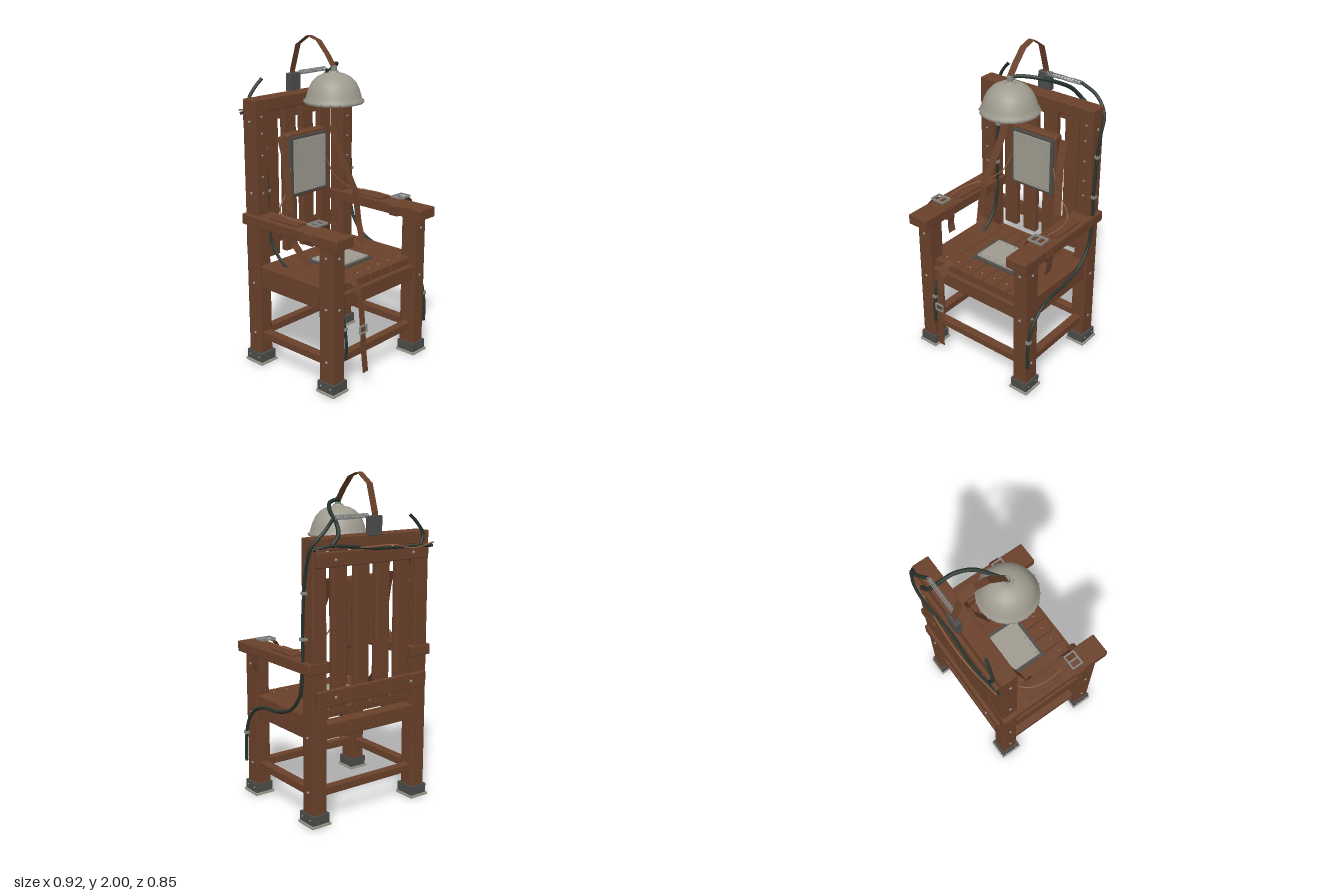
import * as THREE from 'three';
import { RoundedBoxGeometry } from 'three/addons/geometries/RoundedBoxGeometry.js';

const mat = (name, color, side = THREE.FrontSide) => {
  const m = new THREE.MeshStandardMaterial({ color, side });
  m.name = name;
  return m;
};
const V = (p) => new THREE.Vector3(...p);

export function createModel() {
  const wood = mat('wood', 0x6a412b);
  const leather = mat('leather', 0x68402b, THREE.DoubleSide);
  const plate = mat('pale metal', 0x9f9b8f, THREE.DoubleSide);
  const iron = mat('dark iron', 0x4c4c4a);
  const steel = mat('steel', 0x868b88);
  const rubber = mat('rubber hose', 0x26332c);
  const copper = mat('copper wire', 0x8d5b3d);

  const root = new THREE.Group();
  root.name = 'strapChair';

  const add = (name, geo, material) => {
    const mesh = new THREE.Mesh(geo, material);
    mesh.name = name;
    root.add(mesh);
    return mesh;
  };
  // box given by its extents on each axis
  const box = (name, m, [x0, x1], [y0, y1], [z0, z1], r = 0.006) => {
    const s = [x1 - x0, y1 - y0, z1 - z0];
    const g = r ? new RoundedBoxGeometry(...s, 1, r) : new THREE.BoxGeometry(...s);
    g.translate((x0 + x1) / 2, (y0 + y1) / 2, (z0 + z1) / 2);
    return add(name, g, m);
  };
  const span = (a, b, s) => (s > 0 ? [a, b] : [-b, -a]);
  const tube = (name, m, pts, r, n = 64) =>
    add(name, new THREE.TubeGeometry(new THREE.CatmullRomCurve3(pts.map(V)), n, r, 8), m);
  // flat strap following a path, widened along one axis
  const ribbon = (name, pts, width, axis) => {
    const pos = [], idx = [];
    const off = V(axis).multiplyScalar(width / 2);
    pts.forEach((p, i) => {
      pos.push(...V(p).sub(off).toArray(), ...V(p).add(off).toArray());
      const a = i * 2;
      if (i) idx.push(a - 2, a - 1, a, a - 1, a + 1, a);
    });
    let g = new THREE.BufferGeometry();
    g.setAttribute('position', new THREE.Float32BufferAttribute(pos, 3));
    g.setIndex(idx);
    g = g.toNonIndexed();
    g.computeVertexNormals();
    return add(name, g, leather);
  };
  const bolt = (p, dir, r = 0.009) => {
    const b = add('bolt', new THREE.SphereGeometry(r, 8, 4, 0, Math.PI * 2, 0, Math.PI / 2), steel);
    b.position.set(...p);
    b.quaternion.setFromUnitVectors(new THREE.Vector3(0, 1, 0), V(dir));
  };

  for (const s of [1, -1]) {
    // legs, posts and metal feet
    const legX = span(0.325, 0.42, s);
    box('frontLeg', wood, legX, [0.01, 0.905], [0.25, 0.36]);
    box('backPost', wood, legX, [0.01, 1.66], [-0.355, -0.25]);
    for (const [z0, z1] of [[0.245, 0.37], [-0.365, -0.235]]) {
      box('footCap', iron, span(0.315, 0.432, s), [0.012, 0.072], [z0, z1], 0);
      box('footFlange', plate, span(0.308, 0.44, s), [0, 0.014], [z0 - 0.008, z1 + 0.008], 0);
      for (const z of [z0 + 0.025, z1 - 0.025]) bolt([s * 0.432, 0.045, z], [s, 0, 0], 0.006);
    }
    // side rails and armrest
    box('seatSideRail', wood, span(0.33, 0.41, s), [0.51, 0.65], [-0.25, 0.25]);
    box('lowerSideRail', wood, span(0.345, 0.4, s), [0.165, 0.215], [-0.25, 0.25]);
    box('armrest', wood, span(0.305, 0.448, s), [0.905, 0.97], [-0.36, 0.408]);
    box('armPad', leather, span(0.325, 0.42, s), [0.965, 0.985], [-0.15, 0.075]);
    for (const y of [0.2, 0.53, 1.1, 1.53]) bolt([s * 0.42, y, -0.3], [s, 0, 0]);
    for (const y of [0.2, 0.53, 0.84]) bolt([s * 0.42, y, 0.305], [s, 0, 0]);
    for (const y of [0.53, 0.84]) bolt([s * 0.372, y, 0.36], [0, 0, 1]);
    for (const y of [1.1, 1.2, 1.33, 1.46, 1.56]) bolt([s * 0.372, y, -0.25], [0, 0, 1], 0.007);
    for (const y of [0.765, 1.54]) bolt([s * 0.28, y, -0.38], [0, 0, -1], 0.01);

    // wrist strap with buckle
    const loop = [[0.3, 0.9], [0.296, 0.96], [0.32, 0.995], [0.375, 1.003], [0.43, 0.995],
      [0.456, 0.965], [0.458, 0.93], [0.45, 0.9], [0.3, 0.9]];
    ribbon('wristStrap', loop.map(([x, y]) => [s * x, y, 0.197]), 0.062, [0, 0, 1]);
    const tail = s > 0 ? [[0.452, 0.975], [0.462, 0.93], [0.457, 0.87], [0.446, 0.81]]
      : [[-0.302, 0.975], [-0.293, 0.91], [-0.298, 0.86], [-0.288, 0.81]];
    ribbon('wristStrapTail', tail.map(([x, y]) => [x, y, 0.197]), 0.058, [0, 0, 1]);
    for (const z of [0.163, 0.231])
      box('wristBuckle', steel, span(0.327, 0.423, s), [1.005, 1.016], [z - 0.004, z + 0.004], 0);
    for (const x of [0.33, 0.375, 0.42])
      box('wristBuckle', steel, span(x - 0.004, x + 0.004, s), [1.005, 1.016], [0.16, 0.234], 0);

    // shoulder straps and arm wires
    ribbon('shoulderStrap', [[0.225, 1.42, -0.25], [0.225, 1.33, -0.22], [0.24, 1.235, -0.185],
      [0.29, 1.0, -0.105], [0.29, 0.8, -0.075], [0.25, 0.67, 0]].map(([x, y, z]) => [s * x, y, z]),
    0.055, [1, 0, 0]);
    tube('armWire', copper, [[0.16, 1.22, -0.235], [0.21, 1.1, -0.21], [0.31, 1.015, -0.17],
      [0.365, 0.997, -0.1], [0.385, 0.995, 0], [0.376, 0.993, 0.11]].map(([x, y, z]) => [s * x, y, z]), 0.004, 40);

    // hose from the top rail down the post, along the seat and down the front leg
    const hx = s > 0 ? 0.432 : -0.312;
    const start = s > 0
      ? [[0.26, 1.77, -0.34], [0.35, 1.7, -0.375], [0.425, 1.61, -0.35]]
      : [[-0.27, 1.76, -0.35], [-0.32, 1.71, -0.36], [-0.36, 1.64, -0.37], [-0.33, 1.56, -0.37]];
    const path = [[1.5, -0.315], [1.4, -0.295], [1.13, -0.275], [0.92, -0.275], [0.77, -0.245],
      [0.665, -0.155], [0.615, -0.02], [0.6, 0.14], [0.56, 0.245], [0.47, 0.325], [0.335, 0.358], [0.2, 0.36]];
    tube('sideHose', rubber, [...start, ...path.map(([y, z]) => [hx, y, z])], 0.01, 110);
    for (const [y, z] of [[1.36, -0.292], [1.1, -0.275], [0.39, 0.35]])
      box('hoseClamp', steel, [hx - 0.013, hx + 0.013], [y - 0.009, y + 0.009], [z - 0.014, z + 0.014], 0);
  }

  // cross rails
  box('seatFrontRail', wood, [-0.33, 0.33], [0.51, 0.602], [0.26, 0.345]);
  box('seatBackRail', wood, [-0.33, 0.33], [0.51, 0.602], [-0.345, -0.26]);
  box('lowerFrontRail', wood, [-0.33, 0.33], [0.165, 0.215], [0.28, 0.33]);
  box('lowerBackRail', wood, [-0.33, 0.33], [0.165, 0.215], [-0.33, -0.28]);
  box('topRail', wood, [-0.327, 0.327], [1.585, 1.66], [-0.355, -0.25]);
  for (const [y0, y1] of [[0.715, 0.81], [1.5, 1.585]])
    box('backBoard', wood, [-0.4, 0.4], [y0, y1], [-0.38, -0.353]);

  // seat and back slats
  for (let i = -3; i <= 3; i++) {
    const c = i * 0.0955;
    box('seatSlat', wood, [c - 0.0455, c + 0.0455], [0.6, 0.65], [-0.25, 0.316], 0.004);
    bolt([c, 0.65, 0.255], [0, 1, 0], 0.005);
  }
  for (const c of [-0.23, -0.078, 0.072, 0.23])
    box('backSlat', wood, [c - 0.049, c + 0.049], [0.655, 1.587], [-0.354, -0.312]);

  // back pad with bolted plate
  box('backPad', wood, [-0.165, 0.165], [1.015, 1.422], [-0.313, -0.245], 0.015);
  box('backPlateFrame', iron, [-0.157, 0.157], [1.035, 1.4], [-0.246, -0.23], 0);
  box('backPlate', plate, [-0.136, 0.136], [1.052, 1.385], [-0.232, -0.222], 0);
  for (let i = 0; i < 5; i++) {
    for (const s of [-1, 1]) {
      bolt([s * 0.122, 1.07 + i * 0.0745, -0.222], [0, 0, 1], 0.006);
      if (i && i < 4) bolt([(i - 2) * 0.061, 1.219 + s * 0.149, -0.222], [0, 0, 1], 0.006);
    }
  }

  // seat plate
  box('seatPlateFrame', iron, [-0.16, 0.157], [0.648, 0.661], [-0.1, 0.16], 0);
  box('seatPlate', plate, [-0.138, 0.136], [0.658, 0.669], [-0.08, 0.138], 0);
  for (const x of [-0.122, -0.06, 0, 0.06, 0.122])
    for (const z of [-0.065, 0.122]) bolt([x, 0.669, z], [0, 1, 0], 0.006);

  // domed helmet with rim bolts and top terminal
  const dome = [[0.168, 1.625], [0.176, 1.625], [0.176, 1.64], [0.167, 1.648], [0.161, 1.67], [0.15, 1.705],
    [0.131, 1.742], [0.103, 1.772], [0.068, 1.791], [0.03, 1.799], [0, 1.8]].map((p) => new THREE.Vector2(...p));
  add('helmetDome', new THREE.LatheGeometry(dome, 40), plate).position.set(-0.004, 0, -0.02);
  for (let i = 0; i < 20; i++) {
    const a = (i / 20) * Math.PI * 2, c = Math.cos(a), d = Math.sin(a);
    bolt([-0.004 + c * 0.175, 1.634, -0.02 + d * 0.175], [c, 0, d], 0.007);
  }
  add('helmetCollar', new THREE.CylinderGeometry(0.028, 0.034, 0.014, 20), plate).position.set(-0.004, 1.803, -0.02);
  add('helmetTerminal', new THREE.CylinderGeometry(0.018, 0.018, 0.04, 16), steel).position.set(-0.004, 1.818, -0.02);

  // helmet strap, bracket and spring
  ribbon('helmetStrap', [[1.83, -0.018], [1.9, -0.07], [1.975, -0.14], [2.0, -0.22], [1.94, -0.312], [1.78, -0.362],
    [1.7, -0.364]].map(([y, z]) => [-0.004, y, z]), 0.045, [1, 0, 0]);
  box('strapBracket', iron, [-0.045, 0.042], [1.655, 1.765], [-0.38, -0.338], 0.004);
  const coil = [];
  for (let i = 0; i <= 264; i++) {
    const a = (i / 12) * Math.PI * 2;
    coil.push([0.025 + (i / 264) * 0.24, 1.765 + 0.012 * Math.cos(a), -0.34 + 0.012 * Math.sin(a)]);
  }
  tube('spring', steel, coil, 0.0025, 400);

  // helmet hose and cables behind the back
  tube('helmetHose', rubber, [[0, 1.832, -0.03], [0.04, 1.838, -0.06], [0.14, 1.825, -0.13], [0.2, 1.785, -0.22],
    [0.225, 1.73, -0.31], [0.25, 1.67, -0.36], [0.3, 1.62, -0.375]], 0.012);
  tube('backCable', rubber, [[-0.43, 1.57, -0.375], [-0.23, 1.58, -0.4], [0, 1.585, -0.392], [0.2, 1.61, -0.41],
    [0.34, 1.62, -0.4], [0.425, 1.6, -0.365]], 0.009);
  tube('backWire', copper, [[-0.425, 1.59, -0.39], [-0.25, 1.57, -0.412], [-0.1, 1.6, -0.425], [0.1, 1.6, -0.414],
    [0.3, 1.61, -0.392], [0.415, 1.6, -0.38]], 0.005);

  // ankle strap and buckle
  ribbon('ankleStrap', [[-0.222, 0.664, 0.205], [-0.222, 0.664, 0.3], [-0.222, 0.64, 0.352], [-0.222, 0.59, 0.378],
    [-0.222, 0.5, 0.397], [-0.222, 0.36, 0.41], [-0.22, 0.25, 0.414], [-0.207, 0.1, 0.42]], 0.047, [1, 0, 0]);
  for (const y of [0.356, 0.4]) box('ankleBuckle', steel, [-0.252, -0.192], [y - 0.003, y + 0.003], [0.408, 0.418], 0);
  for (const x of [-0.25, -0.194]) box('ankleBuckle', steel, [x - 0.003, x + 0.003], [0.356, 0.4], [0.408, 0.418], 0);

  return root;
}
